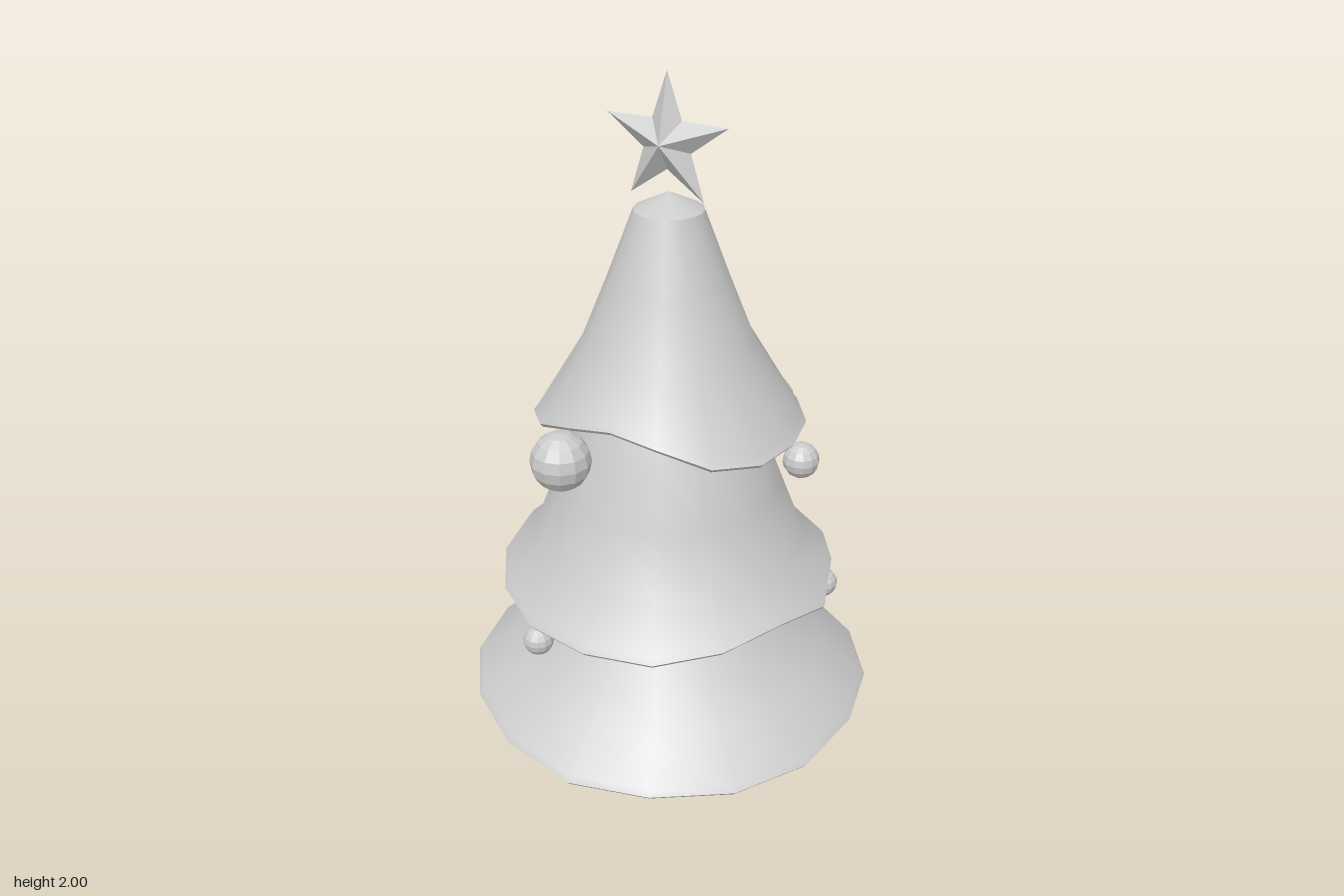
import * as THREE from 'three';
import { toCreasedNormals } from 'three/addons/utils/BufferGeometryUtils.js';

const SIDES = 16;
const smooth = new THREE.MeshStandardMaterial({ color: 0xcccccc, side: THREE.DoubleSide });
const faceted = new THREE.MeshStandardMaterial({ color: 0xcccccc, flatShading: true });

function addMesh(parent, name, geometry, material, x = 0, y = 0, z = 0) {
  const mesh = new THREE.Mesh(geometry, material);
  mesh.name = name;
  mesh.position.set(x, y, z);
  parent.add(mesh);
  return mesh;
}

// Skirt of foliage: body rows [radius, y] from the top down, then a rim that
// rides up and down the slope, a thin bevel and a shallow hollow underneath.
function tierGeometry(body, rimRadius, rimBase, rimHeights, inner) {
  const pos = [], index = [];
  const lift = (i) => rimHeights[i % SIDES] - rimBase;
  const rows = [
    ...body.map(([r, y]) => () => [r, y]),
    (i) => [rimRadius - 0.012 - lift(i) * 0.5, rimBase + 0.022 + lift(i)],
    (i) => [rimRadius - lift(i) * 0.5, rimBase + 0.006 + lift(i)],
    (i) => [rimRadius - 0.008 - lift(i) * 0.5, rimBase - 0.004 + lift(i)],
    () => inner,
  ];
  rows.forEach((row) => {
    for (let i = 0; i <= SIDES; i++) {
      const [r, y] = row(i);
      const a = (i / SIDES) * Math.PI * 2;
      pos.push(r * Math.sin(a), y, r * Math.cos(a));
    }
  });
  const w = SIDES + 1;
  for (let j = 0; j < rows.length - 1; j++) {
    for (let i = 0; i < SIDES; i++) {
      const a = j * w + i, b = a + w;
      index.push(a, b, b + 1, a, b + 1, a + 1);
    }
  }
  const g = new THREE.BufferGeometry();
  g.setAttribute('position', new THREE.Float32BufferAttribute(pos, 3));
  g.setIndex(index);
  return toCreasedNormals(g, 0.75);
}

// Five-pointed star with a raised centre on both faces
function starGeometry(outer, inner, depth) {
  const pos = [];
  const corner = (k) => {
    const a = (k / 10) * Math.PI * 2, r = k % 2 ? inner : outer;
    return [r * Math.sin(a), r * Math.cos(a), 0];
  };
  for (let k = 0; k < 10; k++) {
    pos.push(0, 0, depth, ...corner(k + 1), ...corner(k));
    pos.push(0, 0, -depth, ...corner(k), ...corner(k + 1));
  }
  const g = new THREE.BufferGeometry();
  g.setAttribute('position', new THREE.Float32BufferAttribute(pos, 3));
  g.computeVertexNormals();
  return g;
}

export function createModel() {
  const tree = new THREE.Group();
  tree.name = 'decoratedTree';

  // Trunk
  const trunk = toCreasedNormals(new THREE.CylinderGeometry(0.105, 0.105, 0.4, 16), 0.7);
  addMesh(tree, 'trunk', trunk, smooth, 0, 0.2, 0);

  // Foliage tiers; rim heights run from the front round by the left side
  addMesh(tree, 'lowerTier', tierGeometry(
    [[0, 0.72], [0.2, 0.68], [0.26, 0.575], [0.35, 0.44], [0.455, 0.325]], 0.585, 0.215,
    [0.215, 0.22, 0.215, 0.215, 0.225, 0.215, 0.2, 0.2,
      0.215, 0.205, 0.19, 0.19, 0.215, 0.23, 0.235, 0.225],
    [0.09, 0.335]), smooth);
  addMesh(tree, 'middleTier', tierGeometry(
    [[0, 1.25], [0.18, 1.22], [0.255, 1.06], [0.315, 0.88], [0.385, 0.7]], 0.48, 0.59,
    [0.58, 0.58, 0.6, 0.62, 0.585, 0.62, 0.59, 0.6,
      0.61, 0.59, 0.57, 0.575, 0.61, 0.6, 0.59, 0.58],
    [0.2, 0.655]), smooth);
  addMesh(tree, 'upperTier', tierGeometry(
    [[0, 1.7], [0.092, 1.655], [0.16, 1.475], [0.23, 1.3]], 0.37, 1.065,
    [1.16, 1.135, 1.085, 1.065, 1.065, 1.06, 1.055, 1.065,
      1.08, 1.07, 1.06, 1.06, 1.055, 1.06, 1.09, 1.135],
    [0.16, 1.15]), smooth);

  // Baubles: x, y, z, radius
  const baubles = [
    [-0.14, 1.055, 0.335, 0.081], [0.365, 0.99, -0.065, 0.05],
    [0.15, 1.0, -0.34, 0.071], [-0.24, 1.03, -0.23, 0.038],
    [-0.39, 0.53, 0, 0.072], [-0.175, 0.535, 0.43, 0.042],
    [0.41, 0.545, -0.17, 0.042], [-0.32, 0.53, -0.28, 0.042],
  ];
  baubles.forEach(([x, y, z, r], i) => {
    addMesh(tree, `bauble${i + 1}`, new THREE.SphereGeometry(r, 12, 8), faceted, x, y, z);
  });

  // Star on the tip
  addMesh(tree, 'star', starGeometry(0.177, 0.07, 0.046), faceted, -0.01, 1.823, -0.008);

  return tree;
}
